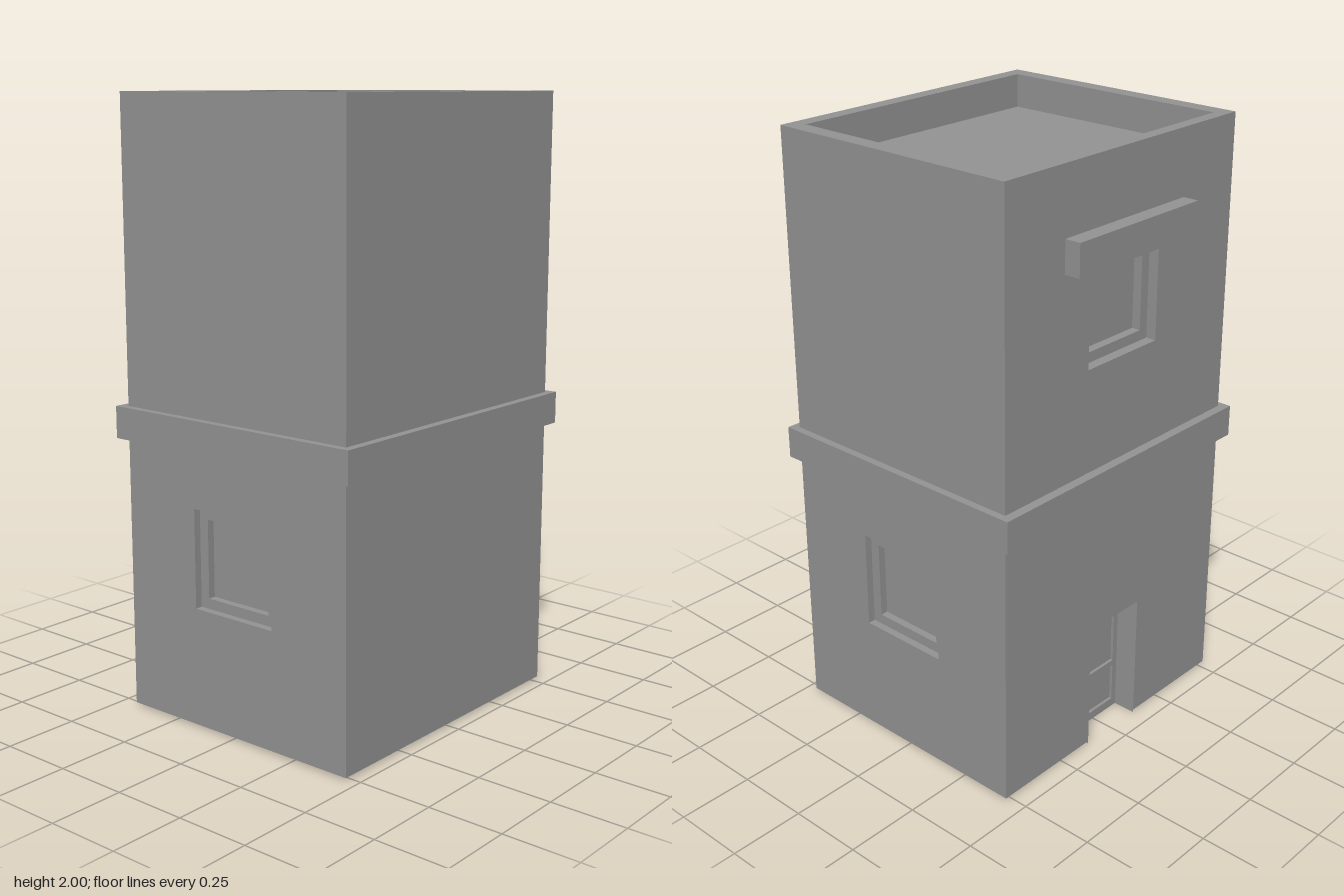
import * as THREE from 'three';

const plaster = new THREE.MeshStandardMaterial({ color: 0x949494, side: THREE.DoubleSide });
plaster.name = 'grey plaster';

const BOTTOM = 0.01, TOP = 2;
const HALF_X = 0.522, BACK = -0.437, FRONT = 0.462;

function add(parent, name, geometry, x = 0, y = 0, z = 0) {
  const mesh = new THREE.Mesh(geometry, plaster);
  mesh.name = name;
  mesh.position.set(x, y, z);
  parent.add(mesh);
  return mesh;
}

function rectPoints(Type, x0, y0, x1, y1) {
  const p = new Type();
  p.moveTo(x0, y0);
  p.lineTo(x1, y0);
  p.lineTo(x1, y1);
  p.lineTo(x0, y1);
  p.closePath();
  return p;
}

// Rectangle with rectangular holes, each given as [x0, y0, x1, y1]
function panel(rect, holes = []) {
  const s = rectPoints(THREE.Shape, ...rect);
  for (const h of holes) s.holes.push(rectPoints(THREE.Path, ...h));
  return s;
}

// Open-ended box lining an opening; sides = 4, or 3 to leave out the floor
function sleeve([x0, y0, x1, y1], z0, z1, sides = 4) {
  const g = new THREE.BoxGeometry(x1 - x0, y1 - y0, z0 - z1);
  g.setIndex(Array.from(g.index.array).slice(0, sides * 6));
  g.clearGroups();
  g.translate((x0 + x1) / 2, (y0 + y1) / 2, (z0 + z1) / 2);
  return g;
}

// Wall facing local +z, later turned into place
function wall(parent, name, rect, holes, angle, x, z) {
  const g = new THREE.Group();
  g.name = name;
  g.rotation.y = angle;
  g.position.set(x, 0, z);
  add(g, name + 'Surface', new THREE.ShapeGeometry(panel(rect, holes)));
  parent.add(g);
  return g;
}

// Stepped window: reveal, frame, inner reveal and pane
function recessedWindow(parent, hole, d1, d2) {
  const b = 0.034;
  const inner = [hole[0] + b, hole[1] + b, hole[2] - b, hole[3] - b];
  add(parent, 'windowReveal', sleeve(hole, 0, -d1));
  add(parent, 'windowFrame', new THREE.ShapeGeometry(panel(hole, [inner])), 0, 0, -d1);
  add(parent, 'windowInnerReveal', sleeve(inner, -d1, -d1 - d2));
  add(parent, 'windowPane', new THREE.ShapeGeometry(panel(inner)), 0, 0, -d1 - d2);
}

// Horizontal ring in plan, from y upward
function ring(outer, inner, y, height) {
  const flip = ([x0, z0, x1, z1]) => [x0, -z1, x1, -z0];
  const g = new THREE.ExtrudeGeometry(panel(flip(outer), [flip(inner)]), { depth: height, bevelEnabled: false });
  g.rotateX(-Math.PI / 2);
  g.translate(0, y, 0);
  return g;
}

export function createModel() {
  const tower = new THREE.Group();
  tower.name = 'tower';

  // Plain front wall
  wall(tower, 'frontWall', [-HALF_X, BOTTOM, HALF_X, TOP], [], 0, 0, FRONT);

  // Side walls, each with one lower window
  for (const s of [1, -1]) {
    const hole = s > 0 ? [-0.17, 0.40, 0.15, 0.726] : [-0.15, 0.40, 0.17, 0.726];
    const rect = s > 0 ? [-FRONT, BOTTOM, -BACK, TOP] : [BACK, BOTTOM, FRONT, TOP];
    const side = wall(tower, s > 0 ? 'leftWall' : 'rightWall', rect, [hole], s * Math.PI / 2, s * HALF_X, 0);
    recessedWindow(side, hole, 0.025, 0.025);
  }

  // Back wall with upper window and doorway
  const backHole = [-0.16, 1.355, 0.16, 1.682];
  const door = [-0.12, 0, 0.12, 0.44];
  const outline = new THREE.Shape();
  [[-HALF_X, BOTTOM], [door[0], BOTTOM], [door[0], door[3]], [door[2], door[3]], [door[2], BOTTOM],
    [HALF_X, BOTTOM], [HALF_X, TOP], [-HALF_X, TOP]]
    .forEach(([x, y], i) => (i ? outline.lineTo(x, y) : outline.moveTo(x, y)));
  outline.holes.push(rectPoints(THREE.Path, ...backHole));
  const back = new THREE.Group();
  back.name = 'backWall';
  back.rotation.y = Math.PI;
  back.position.z = BACK;
  tower.add(back);
  add(back, 'backWallSurface', new THREE.ShapeGeometry(outline));
  recessedWindow(back, backHole, 0.035, 0.03);
  add(back, 'windowLintel', new THREE.BoxGeometry(0.546, 0.105, 0.054), 0, 1.732, 0.027);

  // Door set back in its opening, with two sunken panels
  const panels = [[-0.1, 0.03, 0.1, 0.165], [-0.1, 0.185, 0.1, 0.42]];
  add(back, 'doorReveal', sleeve(door, 0, -0.08, 3));
  add(back, 'door', new THREE.ShapeGeometry(panel(door, panels)), 0, 0, -0.08);
  for (const p of panels) {
    add(back, 'doorPanelEdge', sleeve(p, -0.08, -0.09));
    add(back, 'doorPanel', new THREE.ShapeGeometry(panel(p)), 0, 0, -0.09);
  }

  // Band between the storeys
  add(tower, 'storeyBand', ring([-0.547, -0.468, 0.547, 0.489], [-HALF_X, BACK, HALF_X, FRONT], 0.91, 0.105));

  // Parapet rim, its inner faces and the sunken roof
  const inner = [-0.467, -0.395, 0.467, 0.412];
  const rimShape = panel([-HALF_X, -FRONT, HALF_X, -BACK], [[inner[0], -inner[3], inner[2], -inner[1]]]);
  add(tower, 'parapetRim', new THREE.ShapeGeometry(rimShape).rotateX(-Math.PI / 2), 0, TOP, 0);
  const lining = sleeve([inner[0], -inner[3], inner[2], -inner[1]], 0, -0.11);
  add(tower, 'parapetLining', lining.rotateX(-Math.PI / 2), 0, TOP, 0);
  const roof = new THREE.PlaneGeometry(inner[2] - inner[0], inner[3] - inner[1]).rotateX(-Math.PI / 2);
  add(tower, 'roof', roof, 0, TOP - 0.11, (inner[1] + inner[3]) / 2);

  return tower;
}
